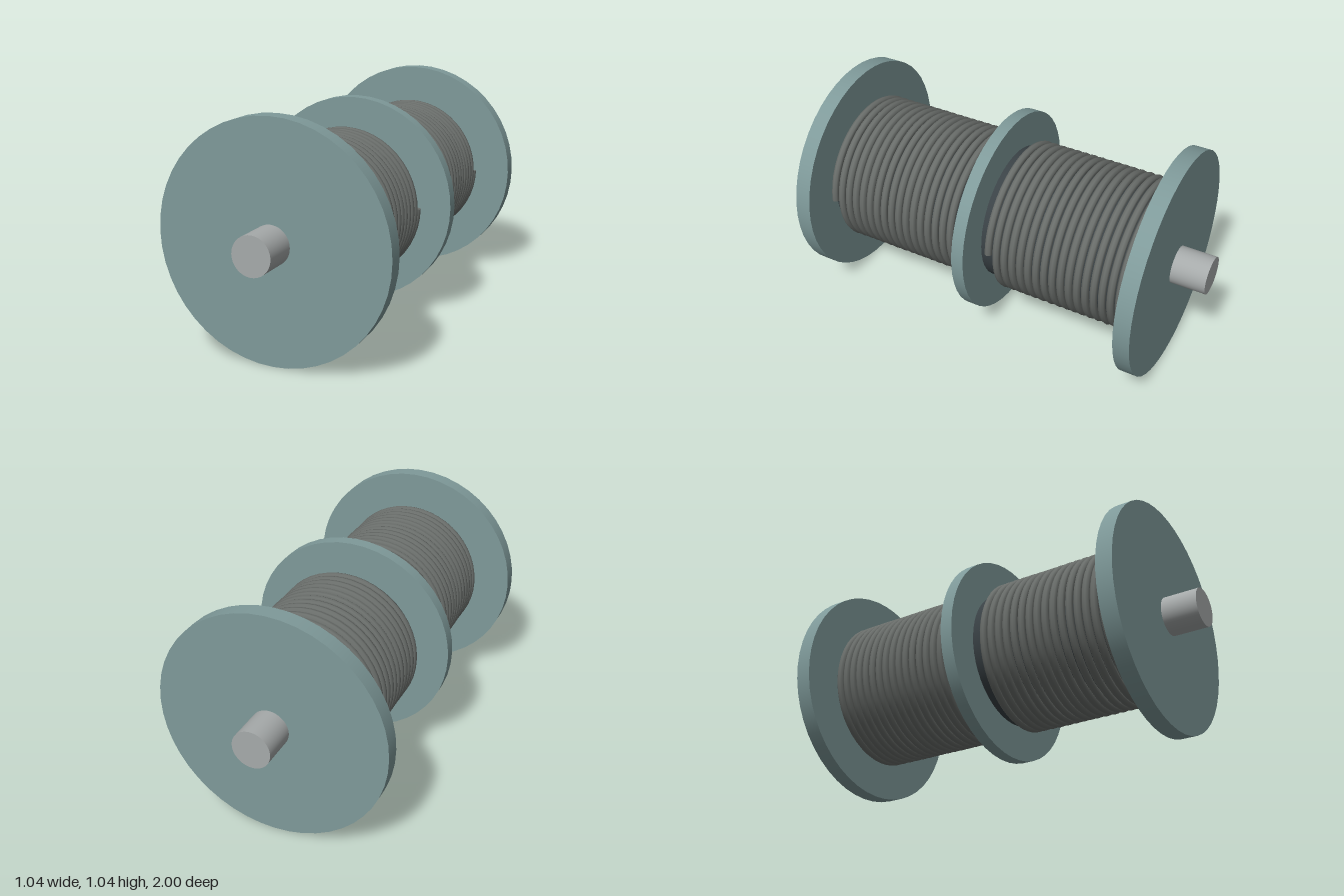
import * as THREE from 'three';

const AXIS_Y = 0.522;

// Rope path: starts at +x and climbs around the drum while moving toward -z
class Helix extends THREE.Curve {
  constructor(radius, turns, zStart, zEnd) {
    super();
    Object.assign(this, { radius, turns, zStart, zEnd });
    this.arcLengthDivisions = turns * 48;
  }
  getPoint(t, target = new THREE.Vector3()) {
    const a = t * this.turns * Math.PI * 2;
    return target.set(
      this.radius * Math.cos(a),
      this.radius * Math.sin(a),
      THREE.MathUtils.lerp(this.zStart, this.zEnd, t)
    );
  }
}

export function createModel() {
  const model = new THREE.Group();
  model.name = 'cableDrum';
  const winch = new THREE.Group();
  winch.name = 'winchAssembly';
  winch.position.y = AXIS_Y;
  model.add(winch);

  const paint = (color) => new THREE.MeshStandardMaterial({ color });
  const flangePaint = paint(0x7f9a9a);
  const shaftPaint = paint(0xa6aaaa);
  const drumPaint = paint(0x3a4246);
  const ropePaint = paint(0x6a6e6b);

  // Cylinder lying along z
  function disc(name, radius, z0, z1, material) {
    const geo = new THREE.CylinderGeometry(radius, radius, z1 - z0, 48).rotateX(Math.PI / 2);
    const mesh = new THREE.Mesh(geo, material);
    mesh.name = name;
    mesh.position.z = (z0 + z1) / 2;
    winch.add(mesh);
  }

  disc('shaft', 0.086, -1, 1, shaftPaint);
  disc('drum', 0.315, -0.78, 0.78, drumPaint);
  disc('frontFlange', 0.522, 0.765, 0.84, flangePaint);
  disc('backFlange', 0.522, -0.84, -0.765, flangePaint);
  disc('middleDivider', 0.478, -0.029, 0.029, flangePaint);

  // Two identical windings, one on each side of the divider
  const turns = 17, coilRadius = 0.337, ropeRadius = 0.0175;
  for (const [name, zStart, zEnd] of [['frontRope', 0.755, 0.082], ['backRope', -0.078, -0.752]]) {
    const rope = new THREE.Group();
    rope.name = name;
    const path = new Helix(coilRadius, turns, zStart, zEnd);
    const coil = new THREE.Mesh(new THREE.TubeGeometry(path, turns * 48, ropeRadius, 8), ropePaint);
    coil.name = name + 'Coil';
    rope.add(coil);
    // Flat cut ends: the start faces down, the finish faces up
    for (const [z, turn] of [[zStart, Math.PI / 2], [zEnd, -Math.PI / 2]]) {
      const cap = new THREE.Mesh(new THREE.CircleGeometry(ropeRadius, 8).rotateX(turn), ropePaint);
      cap.name = name + 'End';
      cap.position.set(coilRadius, 0, z);
      rope.add(cap);
    }
    winch.add(rope);
  }
  return model;
}
